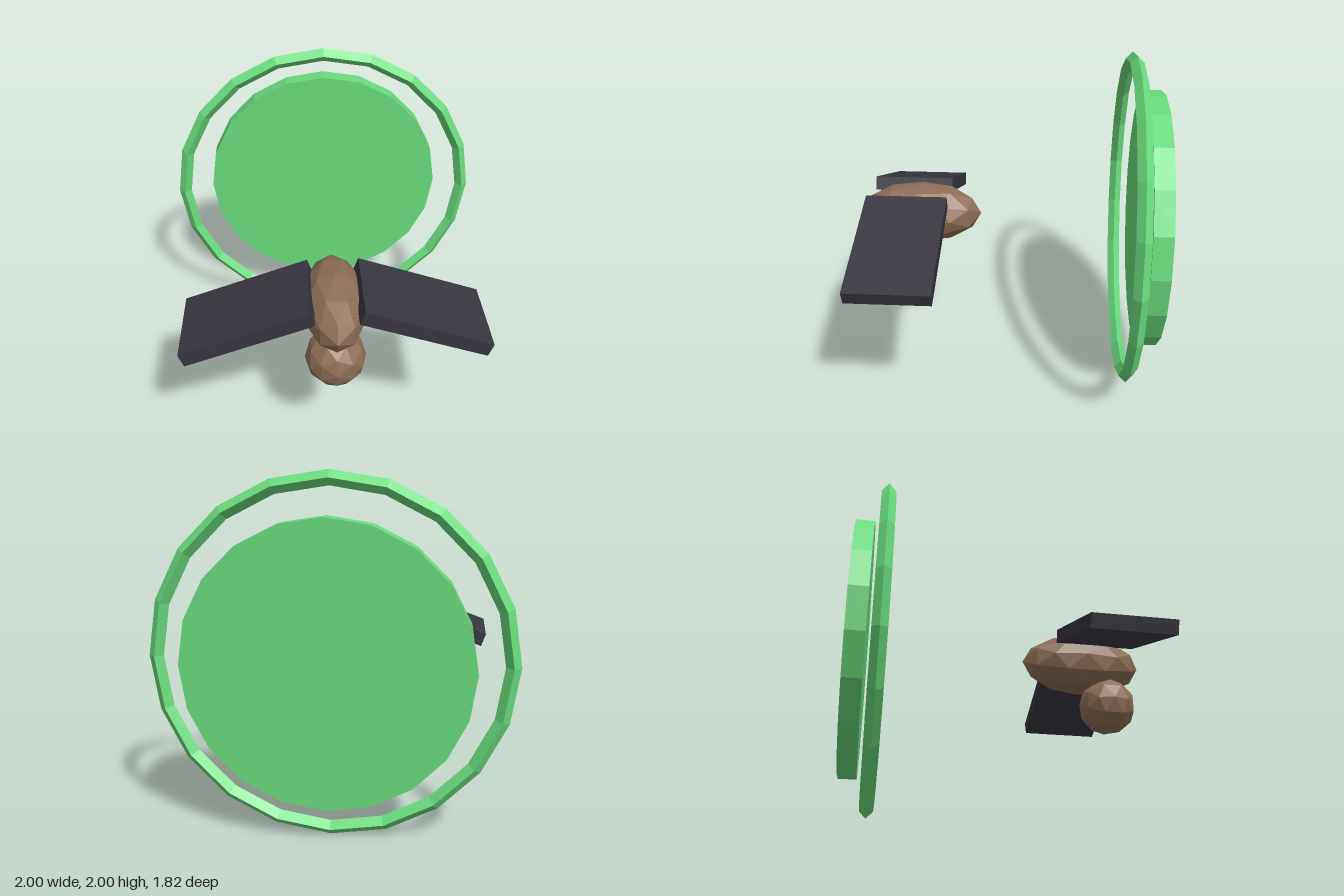
import * as THREE from 'three';

const material = (color) => new THREE.MeshStandardMaterial({ color, flatShading: true });

export function createModel() {
  const model = new THREE.Group();
  const green = material(0x69db7c);
  const brown = material(0x8d6e57);
  const dark = material(0x38363f);

  const add = (name, geometry, mat, x, y, z) => {
    const mesh = new THREE.Mesh(geometry, mat);
    mesh.name = name;
    mesh.position.set(x, y, z);
    model.add(mesh);
    return mesh;
  };

  // Faceted body stretched front to back, with the head tucked below its front
  add('body', new THREE.IcosahedronGeometry(0.186, 1), brown, 0, 1.005, 0.538).scale.z = 2;
  add('head', new THREE.IcosahedronGeometry(0.175, 1), brown, 0, 0.737, 0.695);

  // Mirrored slab wings, drooping outward
  for (const side of [1, -1]) {
    const wing = add(side > 0 ? 'leftWing' : 'rightWing',
      new THREE.BoxGeometry(0.755, 0.084, 0.487), dark, side * 0.488, 1.003, 0.602);
    wing.rotation.z = -side * 0.345;
  }

  // Upright disc with a thin diamond-section ring in front of it
  const disc = new THREE.CylinderGeometry(0.775, 0.775, 0.11, 20).rotateX(Math.PI / 2);
  add('disc', disc, green, 0, 1.003, -0.855);
  add('ring', new THREE.TorusGeometry(0.959, 0.041, 4, 20), green, 0, 1.003, -0.732);

  return model;
}
